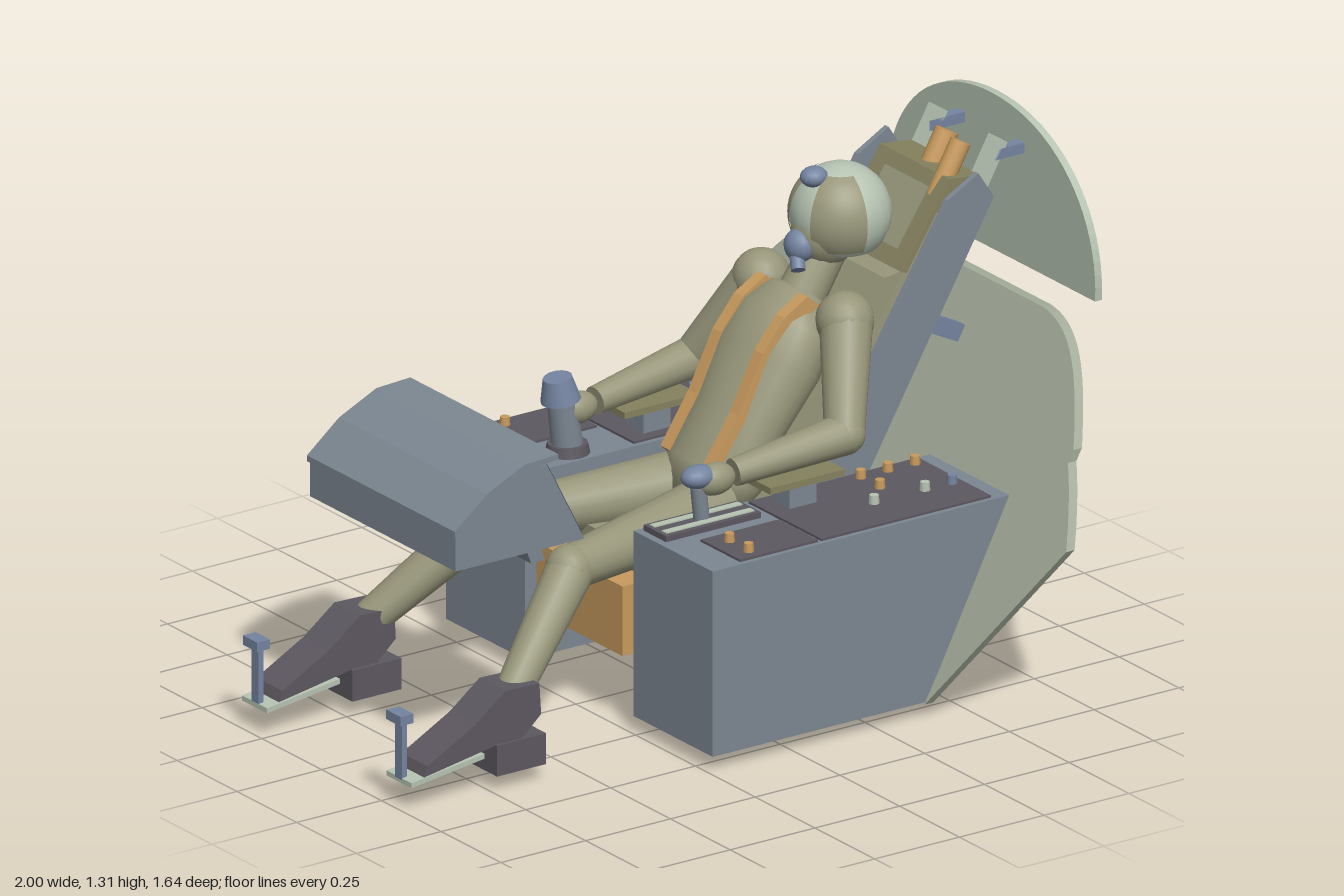
import * as THREE from 'three';

const mat = (name, color) => Object.assign(new THREE.MeshStandardMaterial({ color }), { name });

export function createModel() {
  const root = new THREE.Group();
  root.name = 'cockpitWithPilot';
  const grey = mat('console grey', 0x7c8791);
  const dark = mat('dark panel', 0x5d5860);
  const olive = mat('olive cloth', 0x97967a);
  const drab = mat('dark olive', 0x85815f);
  const sage = mat('sage plate', 0xa2ab99);
  const pale = mat('pale green', 0xb6c3b2);
  const tan = mat('tan', 0xc89a5e);
  const navy = mat('navy screen', 0x3c5068);
  const blue = mat('steel blue', 0x7484a0);

  const add = (name, geo, m, parent = root) => {
    const mesh = new THREE.Mesh(geo, m);
    mesh.name = name;
    parent.add(mesh);
    return mesh;
  };
  // box given by its limits on each axis
  const box = (name, m, x0, x1, y0, y1, z0, z1, parent) => {
    const g = new THREE.BoxGeometry(x1 - x0, y1 - y0, Math.abs(z1 - z0));
    g.translate((x0 + x1) / 2, (y0 + y1) / 2, (z0 + z1) / 2);
    return add(name, g, m, parent);
  };
  // side profile (x, y) extruded between two z values
  const prism = (name, m, pts, z0, z1, parent) => {
    const shape = new THREE.Shape(pts.map(p => new THREE.Vector2(...p)));
    const g = new THREE.ExtrudeGeometry(shape, { depth: Math.abs(z1 - z0), bevelEnabled: false });
    return add(name, g.translate(0, 0, Math.min(z0, z1)), m, parent);
  };
  // tapered round bar between two points
  const bar = (name, m, a, b, ra, rb = ra, sides = 14, parent) => {
    const p = new THREE.Vector3(...a), d = new THREE.Vector3(...b).sub(p);
    const g = new THREE.CylinderGeometry(rb, ra, d.length(), sides);
    g.translate(0, d.length() / 2, 0);
    g.applyQuaternion(new THREE.Quaternion().setFromUnitVectors(new THREE.Vector3(0, 1, 0), d.normalize()));
    return add(name, g.translate(...a), m, parent);
  };
  const ball = (name, m, c, r, s = [1, 1, 1]) =>
    add(name, new THREE.SphereGeometry(r, 16, 12).scale(...s).translate(...c), m);
  // outline in (z, y), extruded along x and leaned back
  const upright = (name, m, shape, x, depth, lean) => {
    const g = new THREE.ExtrudeGeometry(shape, { depth, bevelEnabled: false, curveSegments: 20 });
    g.rotateY(Math.PI / 2);
    g.applyMatrix4(new THREE.Matrix4().set(1, lean, 0, x, 0, 1, 0, 0, 0, 0, 1, 0, 0, 0, 0, 1));
    g.computeVertexNormals();
    return add(name, g, m);
  };

  // rear bulkhead with three ribs
  const LEAN = 0.55;
  const wall = new THREE.Shape();
  wall.moveTo(-0.56, 0.035);
  wall.lineTo(0.56, 0.035);
  wall.lineTo(0.82, 0.46);
  wall.quadraticCurveTo(0.76, 0.56, 0.695, 0.63);
  wall.lineTo(0.695, 0.66);
  wall.bezierCurveTo(0.6, 0.8, 0.52, 0.89, 0.38, 0.9);
  wall.lineTo(-0.38, 0.9);
  wall.bezierCurveTo(-0.52, 0.89, -0.6, 0.8, -0.695, 0.66);
  wall.lineTo(-0.695, 0.63);
  wall.quadraticCurveTo(-0.76, 0.56, -0.82, 0.46);
  upright('bulkhead', sage, wall, 0.365, 0.025, LEAN);
  for (const z of [-0.39, 0, 0.39]) {
    const rib = new THREE.Shape([[-0.01, 0], [0.01, 0], [0.01, 0.86], [-0.01, 0.86]]
      .map(([a, b]) => new THREE.Vector2(a + z, b)));
    upright('bulkheadRib', sage, rib, 0.385, 0.02, LEAN);
  }

  // rounded upper shield
  const dome = new THREE.Shape();
  dome.moveTo(-0.435, 0.905);
  dome.lineTo(0.435, 0.905);
  dome.bezierCurveTo(0.45, 1.13, 0.27, 1.308, 0, 1.308);
  dome.bezierCurveTo(-0.27, 1.308, -0.45, 1.13, -0.435, 0.905);
  upright('upperShield', pale, dome, 0.975, 0.02, 0);

  // instrument panel with hood and three screens
  prism('instrumentHousing', grey, [[-0.82, 0.57], [-0.44, 0.57], [-0.55, 0.785], [-0.62, 0.79],
    [-0.73, 0.74], [-0.82, 0.665]], -0.305, 0.305);
  prism('instrumentHood', grey, [[-0.825, 0.66], [-0.73, 0.737], [-0.62, 0.785], [-0.52, 0.795],
    [-0.52, 0.808], [-0.62, 0.803], [-0.73, 0.752], [-0.825, 0.675]], -0.31, 0.31);
  for (const z of [-0.2, 0, 0.2])
    prism('screen', navy, [[-0.447, 0.58], [-0.44, 0.583], [-0.541, 0.78], [-0.548, 0.777]], z - 0.095, z + 0.095);
  prism('pedestal', grey, [[-0.49, 0.58], [-0.45, 0.58], [-0.395, 0.43], [-0.435, 0.43]], -0.075, 0.075);
  prism('pedestalPanel', drab, [[-0.445, 0.57], [-0.44, 0.572], [-0.391, 0.44], [-0.396, 0.437]], -0.065, 0.065);

  // seat: pan, cushions and headrest
  box('seatPan', tan, -0.24, 0.2, 0.18, 0.36, -0.18, 0.18);
  box('seatCushion', olive, -0.16, 0.28, 0.36, 0.42, -0.17, 0.17);
  prism('seatBack', olive, [[0.2, 0.3], [0.32, 0.3], [0.83, 1.13], [0.71, 1.1]], -0.175, 0.175);
  prism('backCushion', olive, [[0.26, 0.42], [0.36, 0.5], [0.64, 0.97], [0.57, 0.96]], -0.13, 0.13);
  prism('headrest', drab, [[0.61, 0.97], [0.68, 0.95], [0.84, 1.17], [0.75, 1.18]], -0.145, 0.145);
  prism('headrestPad', olive, [[0.632, 1.01], [0.64, 1.005], [0.735, 1.145], [0.725, 1.15]], -0.09, 0.09);
  bar('ejectionTube', tan, [0.19, 0.07, 0], [0.845, 1.24, 0], 0.03);
  bar('sideTube', tan, [0.5, 0.7, 0.1], [0.815, 1.25, 0.1], 0.026);

  for (const s of [-1, 1]) {
    // seat sides, rails and braces
    prism('seatSide', grey, [[0.12, 0.2], [0.3, 0.2], [0.845, 1.13], [0.8, 1.2], [0.71, 1.15]], s * 0.18, s * 0.196);
    prism('seatRail', pale, [[0.2, 0.045], [0.24, 0.035], [0.925, 1.235], [0.89, 1.258]], s * 0.11, s * 0.14);
    prism('railBrace', blue, [[0.68, 0.85], [0.8, 0.79], [0.78, 0.75], [0.66, 0.81]], s * 0.11, s * 0.14);
    box('shieldBrace', blue, 0.87, 0.975, 1.195, 1.222, s * 0.11, s * 0.14);

    // side consoles
    prism('console', grey, [[-0.24, 0.04], [0.39, 0.04], [0.635, 0.52], [-0.24, 0.52]], s * 0.227, s * 0.558);
    box('consolePanel', dark, 0.09, 0.59, 0.518, 0.526, s * 0.24, s * 0.545);
    box('consolePanel', dark, -0.15, 0.08, 0.518, 0.526, s * 0.38, s * 0.545);
    box('armrest', drab, 0.07, 0.29, 0.585, 0.602, s * 0.25, s * 0.36);
    box('armrestPost', grey, 0.14, 0.22, 0.52, 0.586, s * 0.27, s * 0.34);

    // rudder pedals and heel rests
    box('heelRest', dark, -0.74, -0.595, 0.04, 0.12, s * 0.24, s * 0.365);
    prism('footPlate', pale, [[-0.985, 0.062], [-0.77, 0.09], [-0.77, 0.103], [-0.985, 0.075]], s * 0.25, s * 0.355);
    box('pedalPost', blue, -0.985, -0.97, 0.07, 0.235, s * 0.285, s * 0.315);
    box('pedalBar', blue, -1, -0.962, 0.218, 0.242, s * 0.27, s * 0.33);

    // pilot's boots and legs
    prism('boot', dark, [[-0.95, 0.083], [-0.74, 0.118], [-0.66, 0.12], [-0.605, 0.17], [-0.61, 0.25],
      [-0.71, 0.253], [-0.8, 0.185], [-0.94, 0.11]], s * 0.25, s * 0.358);
    bar('thigh', olive, [0.1, 0.465, s * 0.085], [-0.39, 0.447, s * 0.185], 0.082, 0.056, 16);
    ball('knee', olive, [-0.4, 0.445, s * 0.186], 0.06);
    bar('shin', olive, [-0.4, 0.44, s * 0.187], [-0.65, 0.215, s * 0.3], 0.06, 0.045, 16);

    // pilot's arms
    ball('shoulder', olive, [0.42, 0.9, s * 0.175], 0.072);
    bar('upperArm', olive, [0.42, 0.9, s * 0.18], [0.32, 0.675, s * 0.315], 0.066, 0.05, 16);
    ball('elbow', olive, [0.32, 0.672, s * 0.315], 0.052);
    bar('forearm', olive, [0.32, 0.672, s * 0.315], [0.01, 0.635, s * 0.29], 0.052, 0.035, 16);
    ball('hand', olive, [-0.045, 0.63, s * 0.288], 0.048, [1.2, 0.85, 0.8]);
  }

  // control stick on one side, throttle on the other
  bar('stickBase', dark, [-0.07, 0.52, -0.29], [-0.07, 0.545, -0.29], 0.055, 0.05);
  bar('stick', grey, [-0.07, 0.53, -0.29], [-0.09, 0.67, -0.29], 0.04, 0.035);
  bar('stickHead', blue, [-0.09, 0.66, -0.29], [-0.1, 0.72, -0.29], 0.05, 0.036);
  box('throttleTrack', dark, -0.22, 0.06, 0.518, 0.535, 0.24, 0.335);
  for (const z of [0.262, 0.312]) box('throttleSlot', pale, -0.21, 0.05, 0.532, 0.538, z - 0.01, z + 0.01);
  bar('throttleLever', grey, [-0.08, 0.53, 0.285], [-0.09, 0.62, 0.285], 0.02);
  ball('throttleGrip', blue, [-0.09, 0.645, 0.285], 0.036, [1.3, 0.8, 1]);

  // knobs on the consoles: x, z, colour
  const knobs = [[0.4, -0.43, blue], [0.48, -0.43, pale], [0.56, -0.43, pale], [0.48, -0.35, pale],
    [0.56, -0.35, pale], [0.4, -0.27, tan], [0.48, -0.27, tan], [0.56, -0.27, tan], [-0.1, -0.51, tan],
    [0.4, 0.27, tan], [0.48, 0.27, tan], [0.56, 0.27, tan], [0.4, 0.35, tan], [0.33, 0.425, pale],
    [0.48, 0.425, pale], [0.56, 0.425, blue], [-0.1, 0.43, tan], [-0.1, 0.51, tan]];
  for (const [x, z, m] of knobs) bar('knob', m, [x, 0.52, z], [x, 0.548, z], 0.014, 0.012, 8);

  // pilot's torso, leaning back, with two harness straps
  const torso = new THREE.Group();
  torso.name = 'torso';
  torso.position.set(0.13, 0.47, 0);
  torso.rotation.z = -0.55;
  root.add(torso);
  const profile = [[0.001, -0.04], [0.08, -0.03], [0.105, 0.05], [0.1, 0.2], [0.115, 0.36], [0.1, 0.46], [0.06, 0.53], [0.001, 0.55]];
  const body = new THREE.LatheGeometry(profile.map(p => new THREE.Vector2(...p)), 24).scale(1, 1, 1.42);
  add('chest', body, olive, torso);
  const front = profile.slice(2, 7).map(([r, y]) => [-r * 0.93, y]);
  const strap = [...front, [0.05, 0.515], [0.05, 0.48], ...front.map(([x, y]) => [x + 0.045, y - 0.01]).reverse()];
  for (const s of [-1, 1]) prism('harnessStrap', tan, strap, s * 0.07, s * 0.105, torso);

  // pilot's head, helmet and mask
  bar('neck', olive, [0.42, 0.92, 0], [0.5, 1.04, 0], 0.06, 0.055);
  ball('face', olive, [0.485, 1.06, 0], 0.085);
  const shell = (name, m, r, phi0, phiLen, th0, thLen) => {
    const g = new THREE.SphereGeometry(r, 20, 14, phi0, phiLen, th0, thLen);
    const mesh = add(name, g, m);
    mesh.position.set(0.53, 1.1, 0);
    return mesh;
  };
  shell('helmet', pale, 0.125, 0, Math.PI * 2, 0, 2.3);
  for (const phi of [-1.5, 0.35]) shell('helmetSidePanel', olive, 0.128, phi, 1.15, 0.5, 1.65);
  const rim = add('helmetRim', new THREE.CircleGeometry(0.093, 20).rotateX(Math.PI / 2), olive);
  rim.position.set(0.53, 1.017, 0);
  ball('visorKnob', blue, [0.452, 1.208, 0], 0.032, [1.1, 0.8, 1]);
  ball('mask', blue, [0.41, 1.04, 0], 0.042, [0.9, 1, 1]);
  bar('maskHose', blue, [0.4, 1.03, 0], [0.385, 0.99, 0.03], 0.018);
  return root;
}
